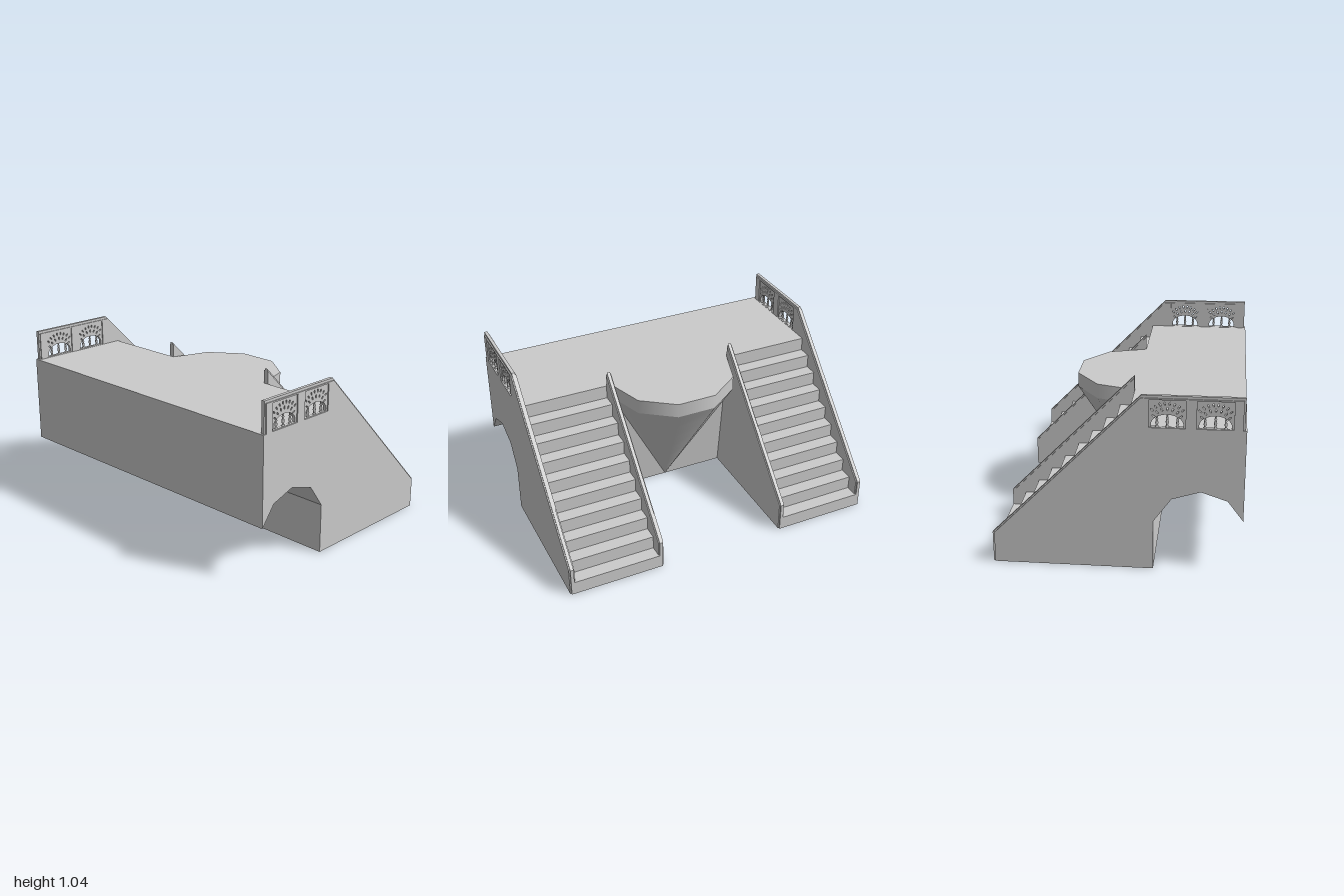
import * as THREE from 'three';

const grey = new THREE.MeshStandardMaterial({ color: 0xcccccc });
const points = (list) => list.map(([z, y]) => new THREE.Vector2(z, y));

// Extrude a side profile given as [z, y] points from x0 to x1
function slab(name, outline, x0, x1, holes = []) {
  const shape = new THREE.Shape(points(outline));
  shape.holes.push(...holes);
  const geo = new THREE.ExtrudeGeometry(shape, { depth: x1 - x0, bevelEnabled: false, curveSegments: 8 });
  geo.rotateY(-Math.PI / 2);
  geo.translate(x1, 0, 0);
  const mesh = new THREE.Mesh(geo, grey);
  mesh.name = name;
  return mesh;
}

// Same slab on both sides of the model
const pair = (name, outline, x0, x1, holes) => [
  slab(name + 'Left', outline, x0, x1, holes),
  slab(name + 'Right', outline, -x1, -x0, holes),
];

const PANELS = [0.54, 0.28]; // z centres of the fretwork panels

// Pierced pattern of one panel: an arch below two fans of slots
function fretwork(c) {
  const arch = new THREE.Path();
  arch.moveTo(c - 0.088, 0.864);
  arch.lineTo(c + 0.088, 0.864);
  arch.lineTo(c + 0.088, 0.88);
  arch.absellipse(c, 0.88, 0.088, 0.058, 0, Math.PI, false, 0);
  const holes = [arch];
  const fan = (count, from, rz, ry) => {
    for (let i = 0; i < count; i++) {
      const a = THREE.MathUtils.degToRad(from + (i * (180 - 2 * from)) / (count - 1));
      const slot = new THREE.Path();
      slot.absellipse(c + rz * Math.cos(a), 0.885 + ry * Math.sin(a), 0.01, 0.0045, 0, Math.PI * 2, false, a);
      holes.push(slot);
    }
  };
  fan(7, 30, 0.086, 0.085);
  fan(8, 42, 0.112, 0.116);
  return holes;
}

function frame(c) {
  return new THREE.Path(points([[c - 0.1, 0.862], [c + 0.1, 0.862], [c + 0.1, 1.022], [c - 0.1, 1.022]]));
}

// Turned baluster standing in an arch
function baluster(x, z, h) {
  const profile = [[0.009, 0], [0.009, 0.1], [0.005, 0.18], [0.009, 0.4], [0.005, 0.62], [0.008, 0.72], [0.004, 0.8], [0.007, 1]];
  const geo = new THREE.LatheGeometry(profile.map(([r, t]) => new THREE.Vector2(r, t * h)), 8);
  const mesh = new THREE.Mesh(geo, grey);
  mesh.position.set(x, 0.86, z);
  mesh.name = 'baluster';
  return mesh;
}

export function createModel() {
  const model = new THREE.Group();
  model.name = 'balconyStaircase';

  // Platform with the arched passage beneath its front
  model.add(slab('platform', [
    [0.71, 0.86], [0.71, 0.32], [0.62, 0.44], [0.47, 0.49], [0.31, 0.44], [0.21, 0.3],
    [0.21, 0], [0.14, 0], [0.05, 0.77], [0.05, 0.86],
  ], -1, 1));

  // Two flights of nine treads
  const steps = [[0.15, 0], [0.15, 0.774]];
  const run = 0.76 / 9;
  for (let i = 0; i < 9; i++) {
    const y = 0.086 * (9 - i);
    steps.push([0.05 - i * run, y], [0.05 - (i + 1) * run, y]);
  }
  steps.push([-0.71, 0]);
  model.add(...pair('stairs', steps, 0.42, 0.975));

  // Outer walls and parapets: thick frame around a thinner core that forms the rail
  model.add(...pair('outerWall', [
    [0.69, 0.85], [0.69, 1.03], [0.136, 1.03], [-0.7, 0.182], [-0.7, 0], [0.15, 0], [0.15, 0.85],
  ], 0.966, 1, PANELS.map(frame)));
  model.add(...pair('outerRail', [
    [0.7, 0.85], [0.7, 1.045], [0.14, 1.045], [-0.7, 0.193], [-0.71, 0.183], [-0.71, 0], [0.15, 0], [0.15, 0.85],
  ], 0.973, 0.993, PANELS.flatMap(fretwork)));

  // Inner walls beside the flights
  model.add(...pair('innerWall', [
    [0.15, 0], [0.15, 0.85], [0.05, 0.85], [0.05, 0.942], [-0.7, 0.182], [-0.7, 0],
  ], 0.4, 0.432));
  model.add(...pair('innerRail', [
    [0.15, 0], [0.15, 0.85], [0.05, 0.85], [0.05, 0.955], [-0.7, 0.193], [-0.71, 0.183], [-0.71, 0],
  ], 0.406, 0.426));

  // Balusters in each arch
  for (const x of [0.983, -0.983]) {
    for (const c of PANELS) {
      for (const [dz, h] of [[-0.056, 0.068], [0, 0.08], [0.056, 0.068]]) model.add(baluster(x, c + dz, h));
    }
  }

  // Half-decagon balcony rim
  const rim = new THREE.Mesh(new THREE.CylinderGeometry(0.4, 0.4, 0.09, 5, 1, false, Math.PI / 2, Math.PI), grey);
  rim.position.set(0, 0.815, 0.05);
  rim.name = 'balconyRim';
  model.add(rim);

  // Slanted cone carrying the balcony, leaning to the foot of the wall
  const coneGeo = new THREE.CylinderGeometry(0.4, 0, 0.77, 5, 6, true, Math.PI / 2, Math.PI);
  coneGeo.translate(0, 0.385, 0.05);
  const pos = coneGeo.attributes.position;
  for (let i = 0; i < pos.count; i++) pos.setZ(i, pos.getZ(i) + 0.09 * (1 - pos.getY(i) / 0.77));
  coneGeo.computeVertexNormals();
  const cone = new THREE.Mesh(coneGeo, grey);
  cone.name = 'balconyCone';
  model.add(cone);

  return model;
}
